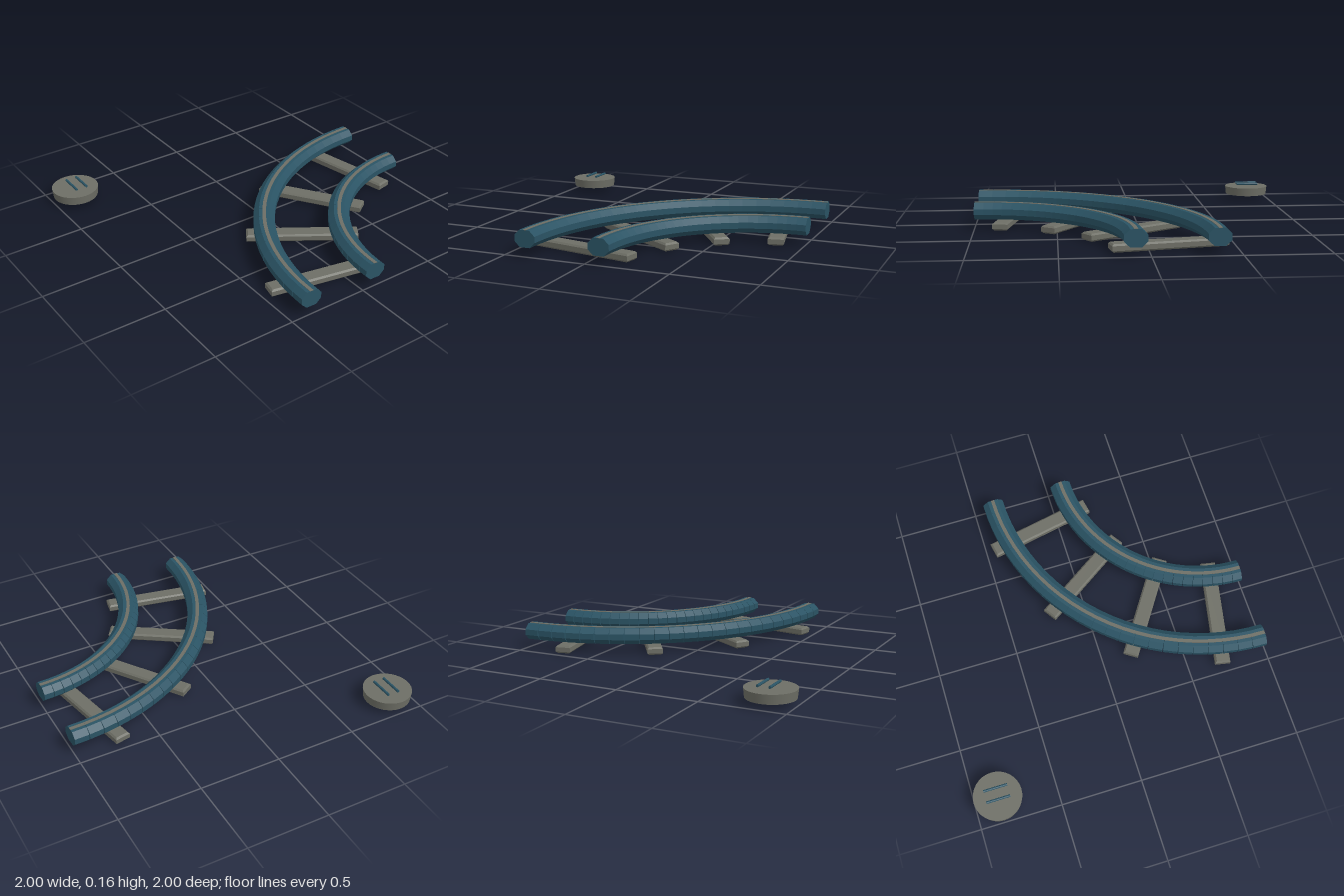
import * as THREE from 'three';

const steel = new THREE.MeshStandardMaterial({ name: 'dark teal', color: 0x2a5364, flatShading: true });
const stone = new THREE.MeshStandardMaterial({ name: 'warm grey', color: 0x6d6e65, flatShading: true });
const stoneSmooth = stone.clone();
stoneSmooth.flatShading = false;

const SEGMENTS = 24;
const STEP = Math.PI / 2 / SEGMENTS;

// Child of a pivot at the curve centre, so one turn places it along the arc
function onArc(mesh, angle) {
  const pivot = new THREE.Group();
  pivot.name = mesh.name + 'Pivot';
  pivot.rotation.y = angle;
  pivot.add(mesh);
  return pivot;
}

// Chamfered bar cross-section, extruded straight for one segment
function segmentGeometry(length) {
  const profile = [[-0.065, -0.018], [-0.032, -0.05], [0.032, -0.05], [0.065, -0.018],
    [0.065, 0.018], [0.032, 0.05], [-0.032, 0.05], [-0.065, 0.018]];
  const shape = new THREE.Shape(profile.map(([x, y]) => new THREE.Vector2(x, y)));
  const geometry = new THREE.ExtrudeGeometry(shape, { depth: length, bevelEnabled: false });
  return geometry.translate(0, 0, -length / 2);
}

// Quarter-circle rail of short straight segments with a pale running strip
function makeRail(name, radius) {
  const rail = new THREE.Group();
  rail.name = name;
  const length = radius * STEP;
  const bar = segmentGeometry(length);
  const strip = new THREE.BoxGeometry(0.022, 0.004, length);
  for (let i = 0; i < SEGMENTS; i++) {
    const angle = (i + 0.5) * STEP;
    const segment = new THREE.Mesh(bar, steel);
    segment.name = 'railSegment';
    segment.position.set(-radius, 0.104, 0);
    const top = new THREE.Mesh(strip, stone);
    top.name = 'runningStrip';
    top.position.set(-radius, 0.1545, 0);
    rail.add(onArc(segment, angle), onArc(top, angle));
  }
  return rail;
}

// Sleeper: a slab with chamfered edges
function sleeperGeometry(length, height, width, chamfer) {
  const x = length / 2 - chamfer, y = width / 2 - chamfer;
  const shape = new THREE.Shape([[-x, -y], [x, -y], [x, y], [-x, y]].map(([a, b]) => new THREE.Vector2(a, b)));
  const geometry = new THREE.ExtrudeGeometry(shape, {
    depth: height - 2 * chamfer, bevelEnabled: true, bevelThickness: chamfer, bevelSize: chamfer, bevelSegments: 1,
  });
  return geometry.rotateX(-Math.PI / 2).translate(0, chamfer, 0);
}

export function createModel() {
  const model = new THREE.Group();
  model.name = 'curvedTrack';

  // Curved track, centred on the back left corner
  const track = new THREE.Group();
  track.name = 'track';
  track.position.set(1, 0, -1);
  track.add(makeRail('outerRail', 1.37), makeRail('innerRail', 0.915));
  const slab = sleeperGeometry(0.68, 0.048, 0.095, 0.01);
  for (let i = 0; i < 4; i++) {
    const sleeper = new THREE.Mesh(slab, stone);
    sleeper.name = 'sleeper';
    sleeper.position.x = -1.14;
    track.add(onArc(sleeper, (i + 0.5) * Math.PI / 8));
  }
  model.add(track);

  // Separate round marker with two small bars above it
  const marker = new THREE.Group();
  marker.name = 'marker';
  marker.position.set(-0.853, 0, 0.853);
  const disc = new THREE.Mesh(new THREE.CylinderGeometry(0.147, 0.141, 0.055, 32), stoneSmooth);
  disc.name = 'markerDisc';
  disc.position.y = 0.06;
  marker.add(disc);
  for (const z of [-0.047, 0.023]) {
    const bar = new THREE.Mesh(new THREE.CylinderGeometry(0.008, 0.008, 0.146, 8), steel);
    bar.name = 'markerBar';
    bar.rotation.z = Math.PI / 2;
    bar.position.set(0, 0.106, z);
    marker.add(bar);
  }
  model.add(marker);
  return model;
}
